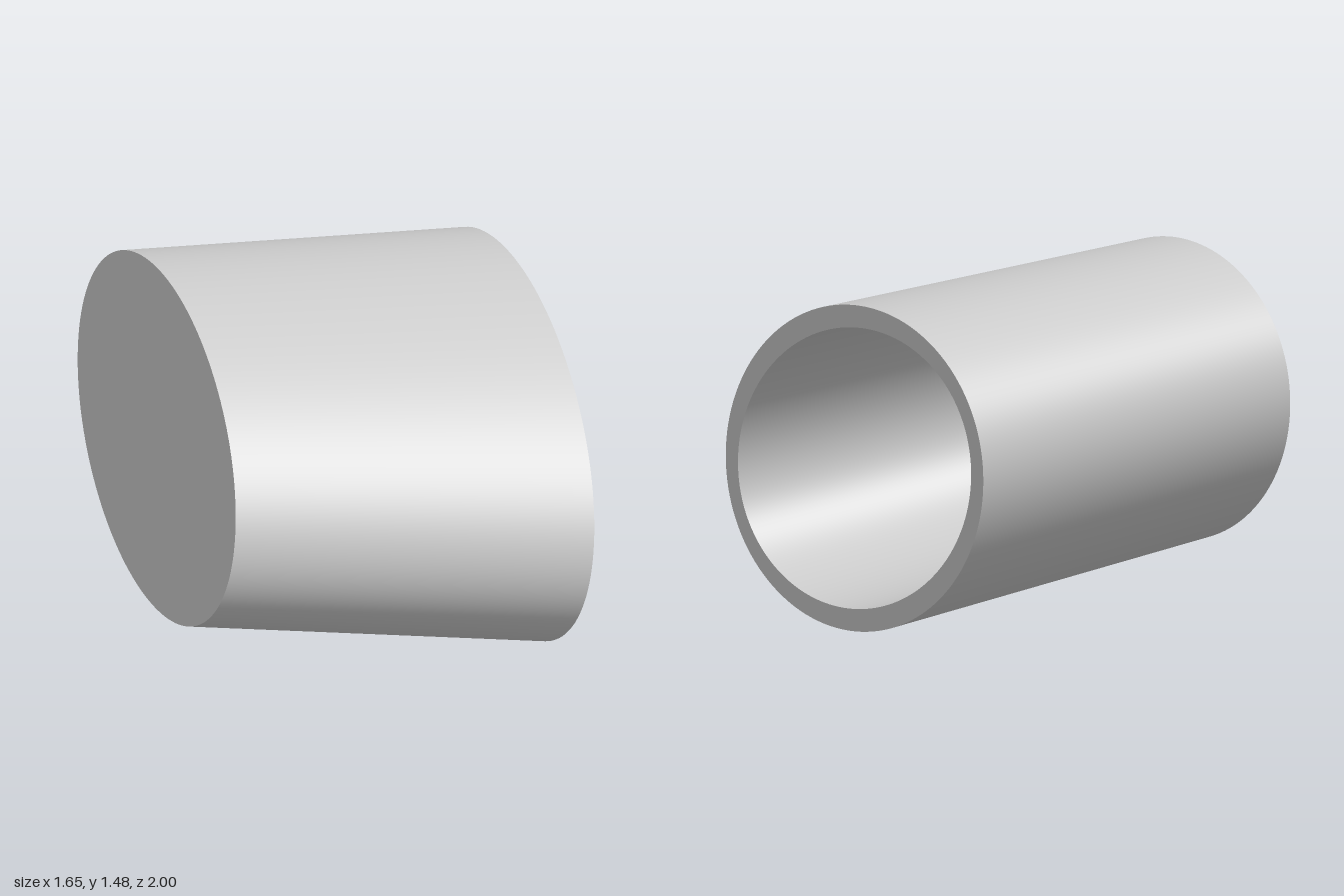
import * as THREE from 'three';

const SIDES = 128;

// Skins a list of elliptical rings [height, semiMajor, semiMinor] along local z.
// Each band has its own vertices, so edges between bands stay sharp.
function ringSkin(rings) {
  const pos = [], index = [];
  for (let k = 0; k + 1 < rings.length; k++) {
    const base = pos.length / 3;
    for (const [h, a, b] of [rings[k], rings[k + 1]]) {
      for (let i = 0; i < SIDES; i++) {
        const t = (i / SIDES) * Math.PI * 2;
        pos.push(a * Math.cos(t), b * Math.sin(t), h);
      }
    }
    for (let i = 0; i < SIDES; i++) {
      const p = base + i, q = base + ((i + 1) % SIDES);
      index.push(p, q, p + SIDES, q, q + SIDES, p + SIDES);
    }
  }
  const geo = new THREE.BufferGeometry();
  geo.setAttribute('position', new THREE.Float32BufferAttribute(pos, 3));
  geo.setIndex(index);
  geo.computeVertexNormals();
  return geo;
}

export function createModel() {
  const material = new THREE.MeshStandardMaterial({ color: 0xcccccc });
  const length = 1.454, wall = 0.09, floor = 0.145;
  const closed = [0.905, 0.587], open = [1.012, 0.631];
  const semi = (h, inset) => closed.map((c, i) => c + (open[i] - c) * (h / length) - inset);

  // Tapered oval cup: closed base, outer wall, rim, inner wall, floor
  const cup = new THREE.Mesh(ringSkin([
    [0, 0, 0],
    [0, ...semi(0, 0)],
    [length, ...semi(length, 0)],
    [length, ...semi(length, wall)],
    [floor, ...semi(floor, wall)],
    [floor, 0, 0],
  ]), material);
  cup.name = 'cup';

  // Round peg standing on the cup floor
  const pegRadius = 0.173, pegTop = 0.58;
  const peg = new THREE.Mesh(ringSkin([
    [floor, pegRadius, pegRadius],
    [pegTop, pegRadius, pegRadius],
    [pegTop, 0, 0],
  ]), material);
  peg.name = 'centrePeg';

  // Lay the cup on its tilted axis, opening towards +x
  const axis = new THREE.Vector3(1, -0.131, -0.1).normalize();
  const major = new THREE.Vector3(0.055, -0.304, 0.953);
  major.addScaledVector(axis, -major.dot(axis)).normalize();
  const minor = new THREE.Vector3().crossVectors(axis, major);
  const body = new THREE.Group();
  body.name = 'tiltedCup';
  body.add(cup, peg);
  body.quaternion.setFromRotationMatrix(new THREE.Matrix4().makeBasis(major, minor, axis));
  body.position.set(-0.718, 0.857, 0.121);

  const model = new THREE.Group();
  model.name = 'ovalCup';
  model.add(body);
  return model;
}
